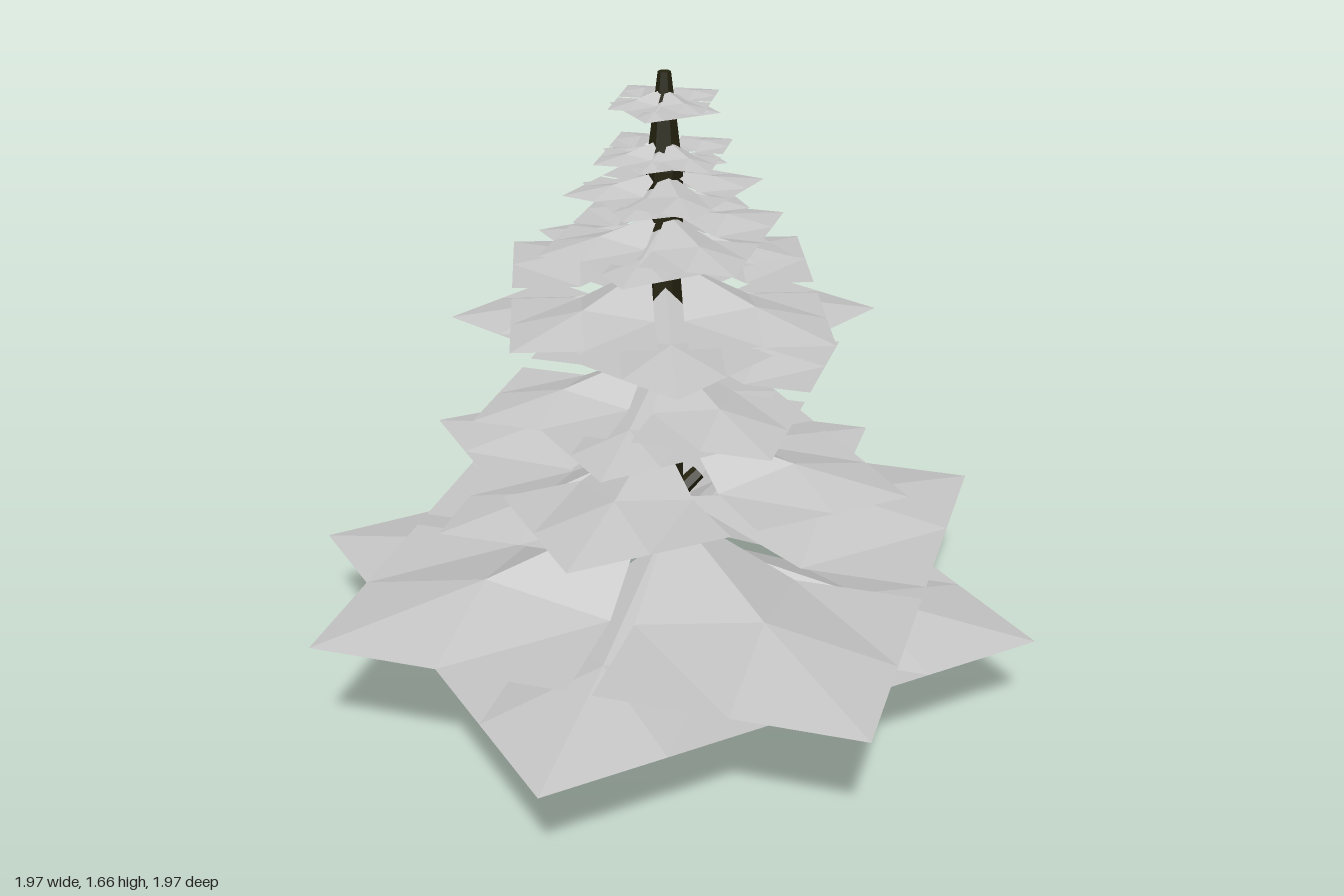
import * as THREE from 'three';

const leafMat = new THREE.MeshStandardMaterial({ color: 0xc6c6c6, side: THREE.DoubleSide, flatShading: true });
leafMat.name = 'pale foliage';
const barkMat = new THREE.MeshStandardMaterial({ color: 0x25230f, flatShading: true });
barkMat.name = 'dark bark';

// Square folded card: inner corner raised at the origin, outer corner along +x,
// flat rim, gently raised middle.
function cardGeometry(side) {
  const geo = new THREE.PlaneGeometry(side, side, 2, 2);
  geo.rotateX(-Math.PI / 2);
  geo.translate(side / 2, 0, side / 2);
  const p = geo.attributes.position;
  for (let i = 0; i < p.count; i++) {
    const u = p.getX(i) / side, v = p.getZ(i) / side;
    let y = 0;
    if (u < 0.1 && v < 0.1) y = 0.245 * side;
    else if (Math.abs(u - 0.5) < 0.1 && Math.abs(v - 0.5) < 0.1) y = 0.097 * side;
    p.setY(i, y);
  }
  // Folds run from the inner corner to the outer corner
  const index = [];
  for (let r = 0; r < 2; r++) for (let c = 0; c < 2; c++) {
    const a = r * 3 + c, b = a + 1, d = a + 3, e = a + 4;
    index.push(a, d, e, a, e, b);
  }
  geo.setIndex(index);
  geo.rotateY(Math.PI / 4);
  geo.computeVertexNormals();
  return geo;
}

// [rim height, tip x, tip z, card side, number of cards]
const tiers = [
  [0.25, 0.72, 0.675, 0.66, 4],
  [0.345, 0.985, -0.03, 0.665, 4],
  [0.575, 0.635, -0.025, 0.42, 2],
  [0.635, 0.445, 0.475, 0.425, 4],
  [0.82, 0.36, -0.39, 0.32, 2],
  [0.855, 0.53, -0.015, 0.345, 4],
  [1.0, 0.25, 0.235, 0.2, 2],
  [1.04, 0.49, 0.21, 0.345, 4],
  [1.1, 0.5, -0.2, 0.345, 4],
  [1.225, 0.24, 0.23, 0.22, 4],
  [1.25, 0.345, -0.01, 0.235, 4],
  [1.35, 0.18, -0.14, 0.15, 4],
  [1.37, 0.25, 0.05, 0.175, 4],
  [1.45, 0.11, 0.12, 0.11, 4],
  [1.46, 0.2, -0.02, 0.13, 4],
  [1.57, 0.1, 0.1, 0.1, 4],
  [1.59, 0.16, -0.02, 0.11, 4],
];

// Broken twig stubs: base and end points
const stubs = [
  [[0.02, 0.51, 0], [0.1, 0.57, 0]],
  [[0.02, 0.91, 0], [0.12, 0.975, -0.02]],
  [[0, 0.76, 0.02], [0, 0.81, 0.07]],
  [[0.02, 1.18, 0], [-0.06, 1.23, 0.02]],
  [[0.01, 1.39, 0], [0.065, 1.43, -0.02]],
];

export function createModel() {
  const model = new THREE.Group();
  model.name = 'pineTree';

  // Six-sided trunk: straight, then tapering
  const lower = new THREE.Mesh(new THREE.CylinderGeometry(0.045, 0.052, 1.42, 6), barkMat);
  lower.position.y = 0.71;
  lower.name = 'trunk';
  const upper = new THREE.Mesh(new THREE.CylinderGeometry(0.016, 0.045, 0.24, 6), barkMat);
  upper.position.y = 1.54;
  upper.name = 'trunkTip';
  model.add(lower, upper);

  // Twig stubs
  const up = new THREE.Vector3(0, 1, 0);
  for (const [a, b] of stubs) {
    const from = new THREE.Vector3(...a), to = new THREE.Vector3(...b);
    const dir = to.clone().sub(from);
    const stub = new THREE.Mesh(new THREE.CylinderGeometry(0.02, 0.025, dir.length(), 6), barkMat);
    stub.position.copy(from).add(to).multiplyScalar(0.5);
    stub.quaternion.setFromUnitVectors(up, dir.normalize());
    stub.name = 'twigStub';
    model.add(stub);
  }

  // Foliage tiers of drooping cards spread evenly around the trunk
  for (const [y, x, z, side, count] of tiers) {
    const tier = new THREE.Group();
    tier.name = 'foliageTier';
    const geo = cardGeometry(side);
    const gap = Math.hypot(x, z) - side * Math.SQRT2;
    geo.translate(gap, 0, 0);
    for (let i = 0; i < count; i++) {
      const card = new THREE.Mesh(geo, leafMat);
      card.position.y = y;
      card.rotation.y = -Math.atan2(z, x) + (i * Math.PI * 2) / count;
      card.name = 'foliageCard';
      tier.add(card);
    }
    model.add(tier);
  }
  return model;
}
